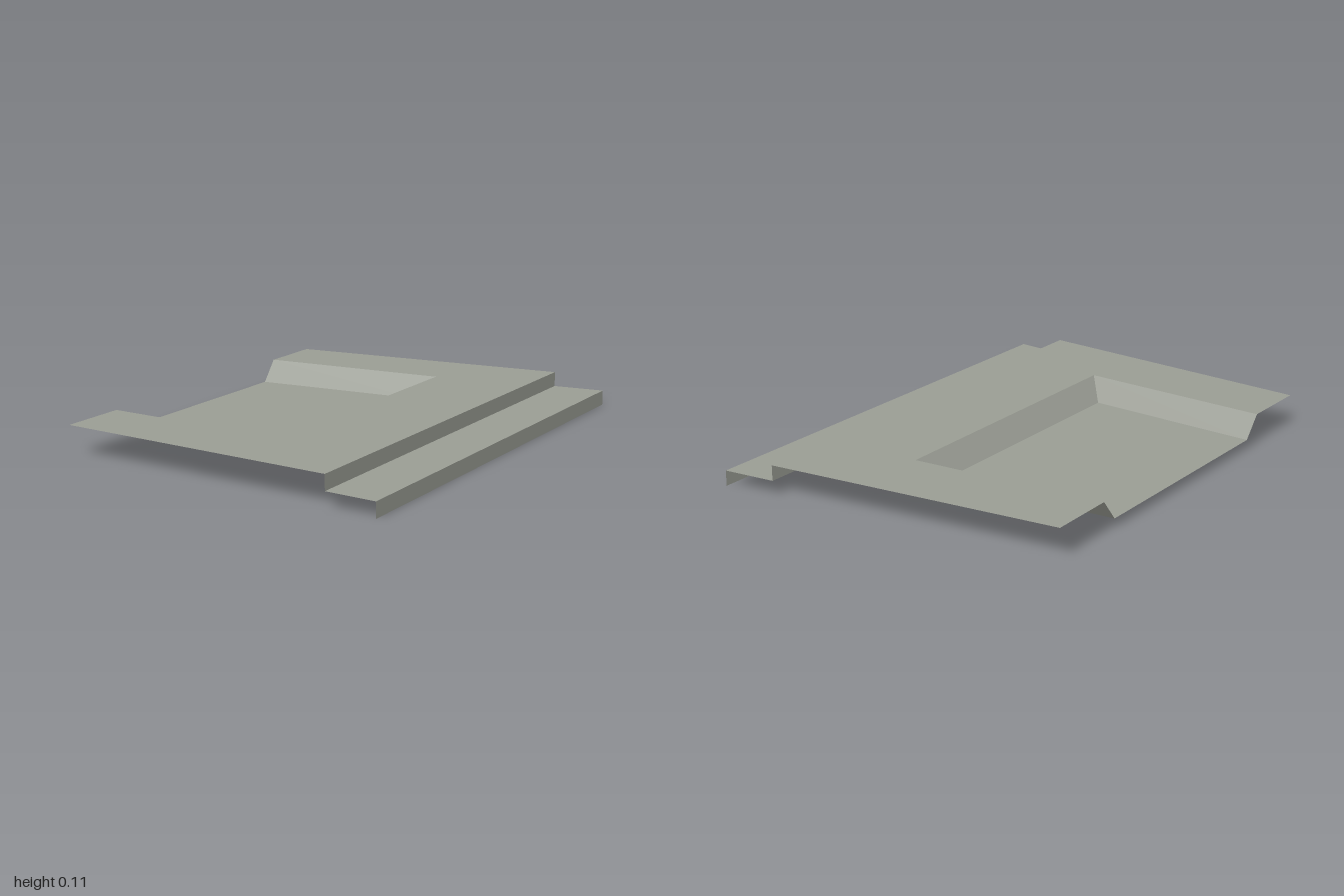
import * as THREE from 'three';

const TOP = 0.11, STEP = 0.055, FLOOR = 0.032;

// Plan outlines as [x, z]
const slab = { back: [-0.185, -1.0], right: [0.785, -0.555], front: [-0.09, 0.885], left: [-0.965, 0.27] };
const rimPlan = [[-0.312, -0.79], [0.32, -0.475], [-0.24, 0.45], [-0.832, 0.055]];
const floorPlan = [[-0.345, -0.735], [0.23, -0.45], [-0.26, 0.36], [-0.797, 0.0]];
const ledgePlan = [[0.96, -0.475], [0.065, 0.995]];

const at = ([x, z], y) => [x, y, z];

// Joins two rows of points with flat quads
function strip(a, b) {
  const pos = [];
  for (let i = 0; i < a.length - 1; i++) {
    pos.push(...a[i], ...b[i], ...b[i + 1], ...a[i], ...b[i + 1], ...a[i + 1]);
  }
  const geo = new THREE.BufferGeometry();
  geo.setAttribute('position', new THREE.Float32BufferAttribute(pos, 3));
  geo.computeVertexNormals();
  return geo;
}

export function createModel() {
  const group = new THREE.Group();
  const stone = new THREE.MeshStandardMaterial({ color: 0x9a9d94, side: THREE.DoubleSide, flatShading: true });
  stone.name = 'grey stone';
  const add = (name, a, b) => {
    const mesh = new THREE.Mesh(strip(a, b), stone);
    mesh.name = name;
    group.add(mesh);
  };

  const outer = [slab.back, slab.right, slab.front, slab.left].map((p) => at(p, TOP));
  const rim = rimPlan.map((p) => at(p, TOP));
  const floor = floorPlan.map((p) => at(p, FLOOR));
  const edge = [slab.right, slab.front];

  // U-shaped top around the recess, which is open on the left edge
  add('topDeck', outer, rim);
  add('recessWalls', rim, floor);
  add('recessFloor', [floor[0], floor[1]], [floor[3], floor[2]]);

  // Two steps along the long right edge
  const levels = [
    edge.map((p) => at(p, TOP)),
    edge.map((p) => at(p, STEP)),
    ledgePlan.map((p) => at(p, STEP)),
    ledgePlan.map((p) => at(p, 0)),
  ];
  // Each strip runs from back to front along the edge
  ['upperRiser', 'stepTread', 'lowerRiser'].forEach((name, i) => {
    add(name, [...levels[i + 1]].reverse(), [...levels[i]].reverse());
  });
  return group;
}
